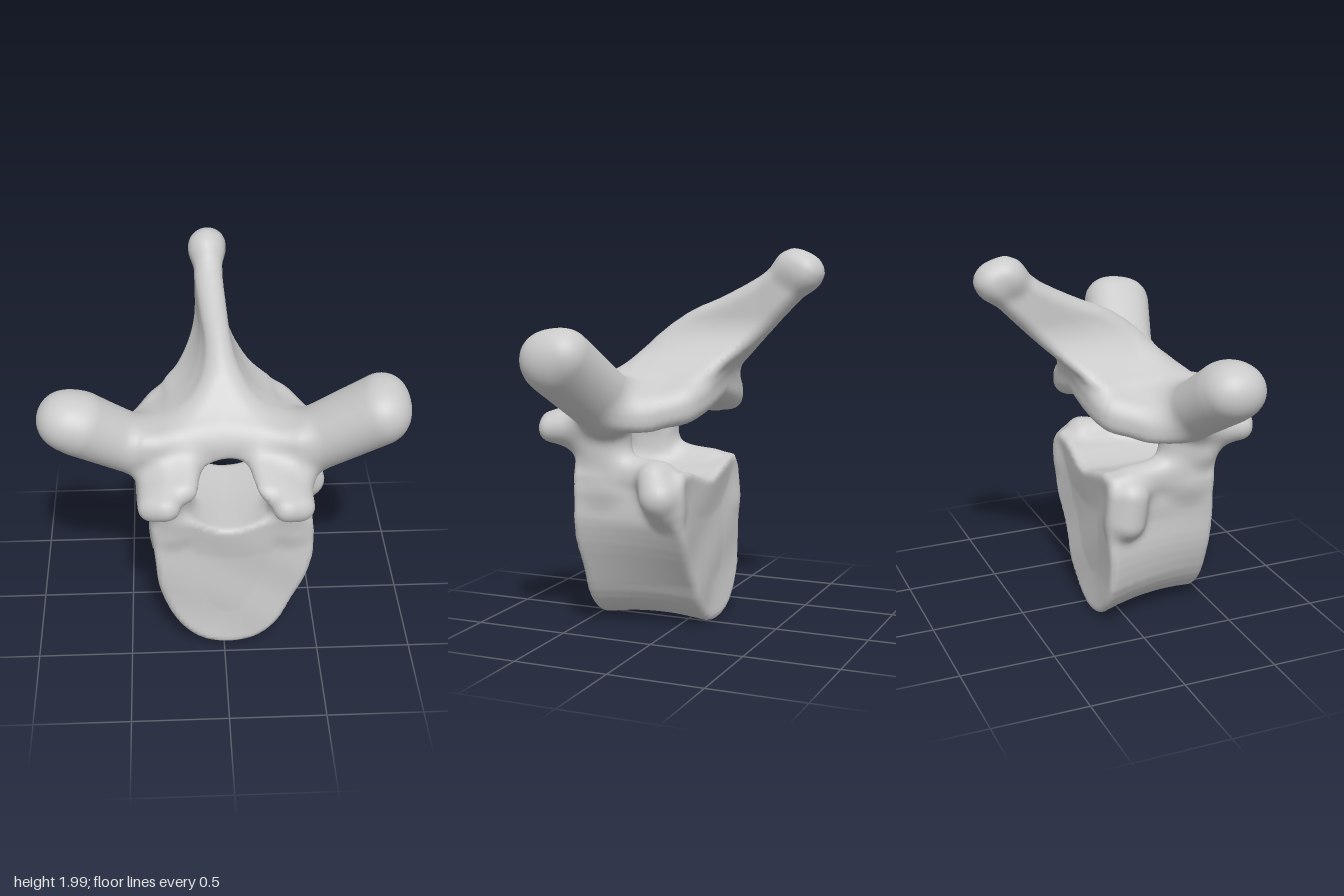
import * as THREE from 'three';

const { min, max, abs, hypot } = Math;
const clamp = (v, a, b) => min(b, max(a, v));
const smin = (a, b, k) => { const h = max(k - abs(a - b), 0) / k; return min(a, b) - h * h * k * 0.25; };
const smax = (a, b, k) => -smin(-a, -b, k);

// Tapered rounded limb from a to b, optionally stretched along z
function limb(a, b, ra, rb = ra, zs = 1) {
  const dx = b[0] - a[0], dy = b[1] - a[1], dz = (b[2] - a[2]) / zs;
  const l2 = dx * dx + dy * dy + dz * dz;
  return (x, y, z) => {
    const px = x - a[0], py = y - a[1], pz = (z - a[2]) / zs;
    const t = clamp((px * dx + py * dy + pz * dz) / l2, 0, 1);
    return hypot(px - t * dx, py - t * dy, pz - t * dz) - ra - (rb - ra) * t;
  };
}

// Signed distance to a smooth closed outline
function outline(points, samples) {
  const curve = new THREE.CatmullRomCurve3(points.map(([u, v]) => new THREE.Vector3(u, v, 0)), true);
  const p = curve.getPoints(samples).slice(0, -1);
  return (u, v) => {
    let d = Infinity, s = 1;
    for (let i = 0, j = p.length - 1; i < p.length; j = i++) {
      const ex = p[j].x - p[i].x, ey = p[j].y - p[i].y, wx = u - p[i].x, wy = v - p[i].y;
      const t = clamp((wx * ex + wy * ey) / (ex * ex + ey * ey), 0, 1);
      d = min(d, (wx - ex * t) ** 2 + (wy - ey * t) ** 2);
      if ((p[i].y > v) !== (p[j].y > v) && wx < ex * wy / ey) s = -s;
    }
    return s * Math.sqrt(d);
  };
}

const extrude = (d2, dz, r) => {
  const a = d2 + r, b = dz + r;
  return min(max(a, b), 0) + hypot(max(a, 0), max(b, 0)) - r;
};
const blend = (list, k) => (x, y, z) => {
  let d = list[0](x, y, z);
  for (let i = 1; i < list.length; i++) d = smin(d, list[i](x, y, z), k);
  return d;
};

// Drum-shaped body: waisted, with dished ends and its foot skewed sideways towards the back
const bodyOutline = outline([[-0.34, 0.89], [-0.36, 0.55], [-0.335, 0.38], [-0.25, 0.18], [-0.13, 0.06], [0.02, 0.02],
  [0.17, 0.05], [0.29, 0.17], [0.38, 0.35], [0.445, 0.52], [0.47, 0.67], [0.42, 0.89], [0.03, 0.83]], 40);
function body(x, y, z) {
  const t = clamp((z - 0.16) / 0.3, -1, 1), back = (1 - t) / 2;
  const skew = 0.02 + 0.08 * clamp((0.6 - y) / 0.35, 0, 1);
  const d2 = bodyOutline(x + skew * back, y + 0.015 * back) + 0.03 * (1 - t * t);
  const dish = 0.022 * clamp(-d2 / 0.22, 0, 1) + 0.004 * Math.sin(9 * x + 14 * y);
  return extrude(d2, abs(z - 0.158) - 0.305 + dish, 0.04);
}

// Blade of the spine, leaning backwards and flaring out at its foot
const spineOutline = outline([[0.36, 1.25], [0.19, 1.52], [0, 1.67], [-0.2, 1.76], [-0.4, 1.87], [-0.55, 1.985],
  [-0.67, 1.95], [-0.71, 1.87], [-0.6, 1.745], [-0.45, 1.59], [-0.32, 1.465], [-0.2, 1.36], [-0.1, 1.27], [0.1, 1.24]], 36);
function blade(x, y, z) {
  const centre = -0.045 * clamp((0.1 - z) / 0.5, 0, 1);
  const foot = clamp((1.66 - y) / 0.3, 0, 1);
  const crest = clamp((y + 0.75 * z - 1.5) / 0.2, 0, 1);
  return extrude(spineOutline(z, y), (abs(x - centre) - 0.073 + 0.015 * crest - 0.18 * foot * foot) * 0.82, 0.06);
}
const spine = blend([blade, limb([-0.055, 1.9, -0.555], [-0.042, 1.875, -0.615], 0.09)], 0.05);

// Vaulted plate that roofs the canal, thicker along the middle and sloping to a low front lip
const half = [[0.2, 0.41], [0.42, 0.43], [0.56, 0.2], [0.53, 0.06], [0.45, -0.05], [0.37, -0.16], [0.25, -0.205]];
const laminaOutline = outline([...half, [0, -0.22], ...half.map(([x, z]) => [-x, z]).reverse(), [0, 0.4]], 44);
function lamina(x, y, z) {
  const side = min(abs(x) / 0.4, 1.4), inner = max(1 - side, 0);
  const middle = 1.36 - 0.165 * side + 0.18 * max(z, 0) * side - (0.55 * max(z - 0.2, 0) + 0.025) * inner;
  return extrude(laminaOutline(x, z), abs(y - middle) * 0.92 - 0.085 - 0.025 * inner, 0.075);
}

const pedicle = x => blend([
  limb([x, 0.8, 0.29], [x, 1.15, 0.29], 0.11, 0.105),
  limb([x, 0.78, 0.36], [x, 1.1, 0.38], 0.095, 0.105),
], 0.05);

// Broad, outward-tilted wedge with a sloping underside
const articular = (s, reach) => blend([
  limb([0.18 * s, 1.195, 0.36], [0.195 * s, 1.125, 0.54 + reach], 0.07, 0.06),
  limb([0.35 * s, 1.09, 0.38], [0.365 * s, 1.065, 0.59 + reach], 0.085, 0.07),
  limb([0.27 * s, 1.15, 0.38], [0.29 * s, 1.085, 0.625 + reach], 0.08, 0.065),
  limb([0.32 * s, 0.96, 0.39], [0.31 * s, 1.05, 0.53 + reach], 0.08, 0.07),
], 0.06);

const parts = {
  body,
  leftPedicle: pedicle(0.34),
  rightPedicle: pedicle(-0.27),
  lamina,
  spine,
  leftTransverseProcess: blend([limb([0.42, 1.22, 0.3], [0.765, 1.47, 0.415], 0.135, 0.14),
    limb([0.42, 1.22, 0.23], [0.775, 1.485, 0.325], 0.135, 0.138),
    limb([0.45, 1.2, 0.27], [0.76, 1.43, 0.38], 0.14, 0.14)], 0.05),
  rightTransverseProcess: blend([limb([-0.42, 1.2, 0.25], [-0.78, 1.42, 0.33], 0.135, 0.14, 1.15),
    limb([-0.45, 1.21, 0.26], [-0.7, 1.4, 0.335], 0.125, 0.15, 1.1)], 0.05),
  leftArticularProcess: articular(1, 0.03),
  rightArticularProcess: articular(-1, 0),
  leftRibFacet: blend([limb([0.42, 0.84, 0.01], [0.468, 0.765, -0.03], 0.09, 0.094),
    limb([0.46, 0.76, -0.04], [0.43, 0.7, -0.05], 0.08),
    limb([0.36, 0.86, 0], [0.35, 0.88, 0.22], 0.07)], 0.05),
  rightRibFacet: blend([limb([-0.37, 0.77, -0.02], [-0.37, 0.63, -0.04], 0.09),
    limb([-0.3, 0.83, 0], [-0.29, 0.86, 0.22], 0.07)], 0.05),
};
const names = Object.keys(parts), fields = Object.values(parts);
const joined = blend(fields, 0.07);

// All parts joined, with the egg-shaped canal cut through
function field(x, y, z) {
  const w = 0.196 - 0.08 * (y - 1);
  const canal = (hypot((x - 0.025) / max(w, 0.1), (y - 1) / 0.197) - 1) * 0.2;
  return smax(joined(x, y, z), -canal, 0.035);
}
function gradient([x, y, z], e = 0.004) {
  return [field(x + e, y, z) - field(x - e, y, z), field(x, y + e, z) - field(x, y - e, z),
    field(x, y, z + e) - field(x, y, z - e)].map(v => v / (2 * e));
}

// Skin the field with quads: one vertex per crossed cell, one quad per crossed edge
function skin() {
  const step = 0.0225, lo = [-1.03, -0.05, -0.82], n = [92, 94, 72];
  const stride = [1, n[0], n[0] * n[1]], values = new Float32Array(n[0] * n[1] * n[2]);
  const each = (start, end, visit) => {
    for (let k = start; k < n[2] - end; k++) for (let j = start; j < n[1] - end; j++)
      for (let i = start; i < n[0] - end; i++) visit([i, j, k], i + j * stride[1] + k * stride[2]);
  };
  each(0, 0, (c, id) => { values[id] = field(...c.map((v, a) => lo[a] + v * step)); });
  const vertex = new Map(), quads = [];
  each(0, 1, (c, id) => {
    const sum = [0, 0, 0];
    let count = 0;
    for (let q = 0; q < 8; q++) for (let a = 0; a < 3; a++) {
      if (q >> a & 1) continue;
      const bits = [q & 1, q >> 1 & 1, q >> 2 & 1];
      const p = id + bits[0] + bits[1] * stride[1] + bits[2] * stride[2];
      const v0 = values[p], v1 = values[p + stride[a]];
      if ((v0 < 0) === (v1 < 0)) continue;
      bits[a] = v0 / (v0 - v1);
      bits.forEach((b, m) => { sum[m] += b; });
      count++;
    }
    if (!count) return;
    const p = sum.map((v, a) => lo[a] + (c[a] + v / count) * step);
    const g = gradient(p), d = clamp(field(...p), -step / 2, step / 2) / max(hypot(...g) ** 2, 0.3);
    const pos = p.map((v, a) => v - g[a] * d), nor = gradient(pos, 0.015), len = hypot(...nor) || 1;
    vertex.set(id, { pos, nor: nor.map(v => v / len) });
  });
  each(1, 1, (c, id) => {
    for (let a = 0; a < 3; a++) {
      const inside = values[id] < 0;
      if (inside === (values[id + stride[a]] < 0)) continue;
      const b = stride[(a + 1) % 3], e = stride[(a + 2) % 3];
      const quad = [id, id - b, id - b - e, id - e];
      quads.push(inside ? quad : quad.reverse());
    }
  });
  return { vertex, quads };
}

export function createModel() {
  const group = new THREE.Group();
  group.name = 'vertebra';
  const bone = new THREE.MeshStandardMaterial({ color: 0xcacaca });
  bone.name = 'bone grey';
  const { vertex, quads } = skin();
  const built = names.map(() => ({ ids: new Map(), pos: [], nor: [], index: [] }));

  // Hand each quad to the part it lies closest to
  for (const quad of quads) {
    const p = vertex.get(quad[0]).pos;
    const d = fields.map(f => f(...p)), part = built[d.indexOf(min(...d))];
    const [a, b, c, e] = quad.map(id => {
      if (!part.ids.has(id)) {
        const v = vertex.get(id);
        part.ids.set(id, part.ids.size);
        part.pos.push(...v.pos);
        part.nor.push(...v.nor);
      }
      return part.ids.get(id);
    });
    part.index.push(a, b, c, a, c, e);
  }
  built.forEach((part, i) => {
    if (!part.index.length) return;
    const geometry = new THREE.BufferGeometry();
    geometry.setAttribute('position', new THREE.Float32BufferAttribute(part.pos, 3));
    geometry.setAttribute('normal', new THREE.Float32BufferAttribute(part.nor, 3));
    geometry.setIndex(part.index);
    const mesh = new THREE.Mesh(geometry, bone);
    mesh.name = names[i];
    group.add(mesh);
  });
  return group;
}
